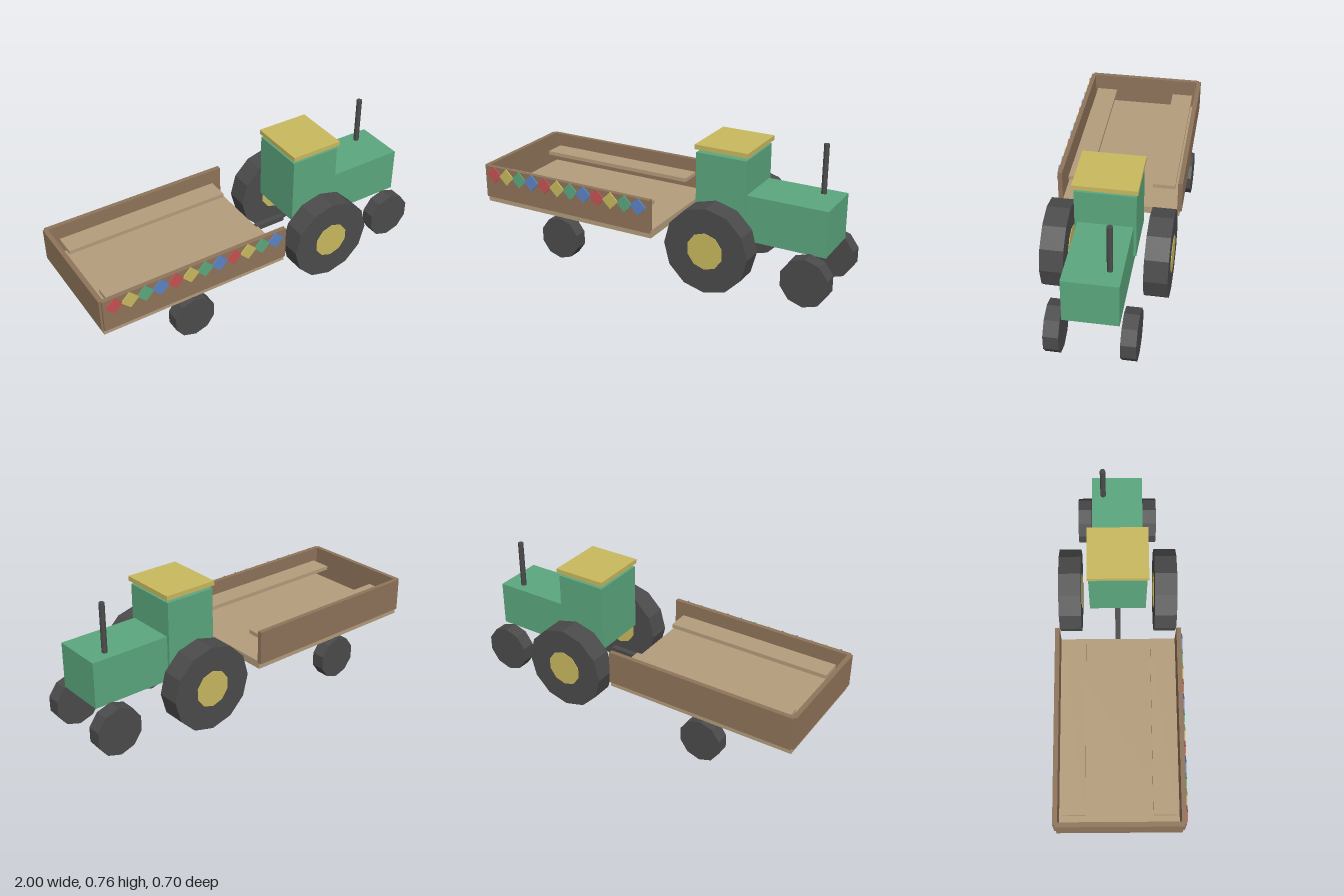
import * as THREE from 'three';

export function createModel() {
  const group = new THREE.Group();
  const paint = (name, color) => {
    const m = new THREE.MeshStandardMaterial({ color, flatShading: true });
    m.name = name;
    return m;
  };
  const green = paint('green', 0x5ba77e);
  const yellow = paint('yellow', 0xc9b95f);
  const rubber = paint('dark grey', 0x4b4b4b);
  const wood = paint('brown wood', 0x8f745a);
  const plank = paint('tan wood', 0xb49d7c);
  const red = paint('red', 0xc65252);
  const blue = paint('blue', 0x5c84c6);

  const add = (name, geometry, material) => {
    const mesh = new THREE.Mesh(geometry, material);
    mesh.name = name;
    group.add(mesh);
    return mesh;
  };
  // Box given by its two extremes on each axis
  const box = (name, material, x0, x1, y0, y1, z0, z1) =>
    add(name, new THREE.BoxGeometry(x1 - x0, y1 - y0, z1 - z0), material)
      .position.set((x0 + x1) / 2, (y0 + y1) / 2, (z0 + z1) / 2);
  // Pair of faceted discs with their axis along z
  const discPair = (name, material, sides, r, x, y, zIn, zOut) => {
    for (const s of [1, -1]) {
      const geometry = new THREE.CylinderGeometry(r, r, zOut - zIn, sides).rotateX(Math.PI / 2);
      add(name, geometry, material).position.set(x, y, s * (zIn + zOut) / 2);
    }
  };

  // Tractor body
  box('hood', green, 0.45, 0.95, 0.25, 0.498, -0.14, 0.14);
  box('cab', green, 0.235, 0.515, 0.312, 0.685, -0.155, 0.155);
  box('roof', yellow, 0.23, 0.525, 0.703, 0.728, -0.163, 0.163);
  add('exhaustPipe', new THREE.CylinderGeometry(0.015, 0.015, 0.265, 8), rubber)
    .position.set(0.842, 0.629, -0.078);

  // Tractor wheels
  discPair('rearWheel', rubber, 12, 0.233, 0.377, 0.233, 0.203, 0.326);
  discPair('rearHub', yellow, 10, 0.1, 0.377, 0.233, 0.2, 0.329);
  discPair('frontWheel', rubber, 10, 0.131, 0.873, 0.131, 0.149, 0.226);

  // Trailer
  box('hitch', rubber, -0.043, 0.28, 0.205, 0.235, -0.015, 0.015);
  box('trailerFloor', plank, -0.988, 0.065, 0.235, 0.277, -0.326, 0.326);
  box('backBoard', wood, -1, -0.975, 0.266, 0.45, -0.326, 0.326);
  for (const s of [1, -1]) {
    const across = (a, b) => (s > 0 ? [a, b] : [-b, -a]);
    box('sideBoard', wood, -0.988, 0.065, 0.266, 0.45, ...across(0.313, 0.338));
    box('bench', plank, -0.928, 0, 0.362, 0.384, ...across(0.173, 0.292));
  }
  discPair('trailerWheel', rubber, 10, 0.118, -0.495, 0.12, 0.275, 0.349);

  // Row of coloured diamonds on one side board
  const colors = [red, yellow, green, blue];
  for (let i = 0; i < 12; i++) {
    const depth = 0.006 + (i % 2) * 0.001;
    const geometry = new THREE.BoxGeometry(0.067, 0.067, depth).rotateZ(Math.PI / 4);
    add('diamond', geometry, colors[i % 4])
      .position.set(-0.928 + i * 0.0843, 0.405, 0.338 + depth / 2);
  }
  return group;
}
